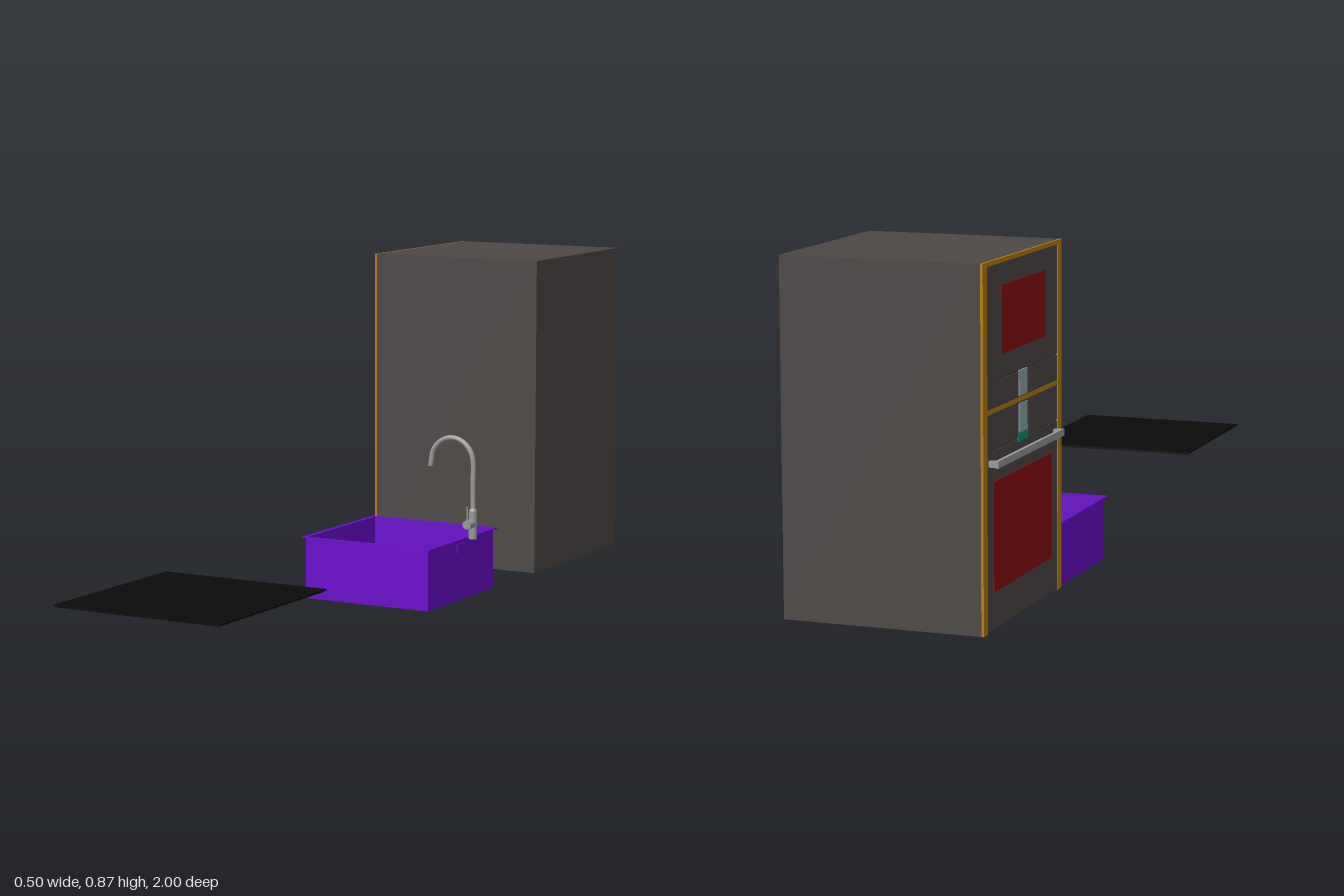
import * as THREE from 'three';

const mat = (color) => new THREE.MeshStandardMaterial({ color });
const dark = mat(0x4d4846), black = mat(0x0a0a0a), gold = mat(0xb97c0c), red = mat(0x8c0808);
const purple = mat(0x6a0dcc), olive = mat(0xc0c000), steel = mat(0x999999);
const pale = mat(0x8fa8a8), teal = mat(0x109078), shade = mat(0x3a3735);
purple.side = olive.side = THREE.DoubleSide;

function add(parent, name, geometry, material, x = 0, y = 0, z = 0) {
  const mesh = new THREE.Mesh(geometry, material);
  mesh.name = name;
  mesh.position.set(x, y, z);
  parent.add(mesh);
  return mesh;
}

// Box given by its limits on each axis
function block(parent, name, material, [x0, x1], [y0, y1], [z0, z1]) {
  return add(parent, name, new THREE.BoxGeometry(x1 - x0, y1 - y0, z1 - z0), material,
    (x0 + x1) / 2, (y0 + y1) / 2, (z0 + z1) / 2);
}

function group(parent, name) {
  const g = new THREE.Group();
  g.name = name;
  parent.add(g);
  return g;
}

// Flat horizontal rectangular frame, laid out around its own centre
function frameGeometry(w, d, innerW, innerD, height) {
  const rect = (path, a, b) => path.moveTo(-a / 2, -b / 2).lineTo(a / 2, -b / 2)
    .lineTo(a / 2, b / 2).lineTo(-a / 2, b / 2).closePath();
  const shape = rect(new THREE.Shape(), w, d);
  shape.holes.push(rect(new THREE.Path(), innerW, innerD));
  return new THREE.ExtrudeGeometry(shape, { depth: height, bevelEnabled: false }).rotateX(-Math.PI / 2);
}

// Double oven whose doors face -x
function buildOven(root) {
  const oven = group(root, 'oven');
  block(oven, 'ovenBody', dark, [-0.224, 0.247], [0.05, 0.865], [-1, -0.5]);
  const face = (name, material, depth, y, z) =>
    block(oven, name, material, [-0.224 - depth, -0.223], y, z);

  // Doors and control panels
  const inner = [-0.975, -0.525];
  face('lowerDoor', dark, 0.003, [0.052, 0.448], inner);
  face('lowerControlPanel', dark, 0.003, [0.452, 0.532], inner);
  face('upperControlPanel', dark, 0.003, [0.542, 0.6], inner);
  face('upperDoor', dark, 0.003, [0.604, 0.855], inner);
  face('panelGap', shade, 0.001, [0.448, 0.604], inner);

  // Trim strips
  for (const z of [[-1, -0.975], [-0.525, -0.5]]) face('sideTrim', gold, 0.005, [0.05, 0.865], z);
  face('topTrim', gold, 0.005, [0.855, 0.865], inner);
  face('middleTrim', gold, 0.004, [0.532, 0.542], inner);

  // Windows and displays
  face('lowerWindow', red, 0.0045, [0.135, 0.38], [-0.935, -0.565]);
  face('upperWindow', red, 0.0045, [0.655, 0.805], [-0.887, -0.607]);
  face('upperDisplay', pale, 0.0045, [0.545, 0.602], [-0.777, -0.723]);
  face('lowerDisplay', pale, 0.0045, [0.463, 0.528], [-0.777, -0.723]);
  face('displayBase', teal, 0.0045, [0.443, 0.461], [-0.782, -0.718]);

  // Door handle with two standoffs
  block(oven, 'handleBar', steel, [-0.25, -0.242], [0.417, 0.433], [-0.965, -0.538]);
  for (const z of [-0.958, -0.545])
    block(oven, 'handlePost', steel, [-0.243, -0.225], [0.418, 0.432], [z - 0.006, z + 0.006]);
}

function buildSink(root) {
  const sink = group(root, 'sink');
  sink.position.set(-0.004, 0, -0.232);
  add(sink, 'basinWalls', frameGeometry(0.352, 0.356, 0.344, 0.348, 0.156), purple, 0, 0.02, 0);
  add(sink, 'rim', frameGeometry(0.37, 0.37, 0.344, 0.348, 0.003), purple, 0, 0.175, 0);

  // Floor with a round opening for the drain
  const floor = new THREE.Shape().moveTo(-0.175, -0.177).lineTo(0.175, -0.177)
    .lineTo(0.175, 0.177).lineTo(-0.175, 0.177).closePath();
  floor.holes.push(new THREE.Path().absarc(0.058, 0, 0.029, 0, Math.PI * 2, true));
  add(sink, 'basinFloor', new THREE.ExtrudeGeometry(floor, { depth: 0.004, bevelEnabled: false })
    .rotateX(-Math.PI / 2), purple, 0, 0.019, 0);

  // Overflow slot on the tap side
  block(sink, 'overflow', purple, [0.168, 0.179], [0.142, 0.165], [-0.022, 0.026]);

  // Drain cup, flange and perforated strainer
  const drain = group(sink, 'drain');
  drain.position.x = 0.058;
  const profile = [[0, 0], [0.012, 0.001], [0.022, 0.005], [0.028, 0.011], [0.029, 0.023],
    [0.042, 0.023], [0.042, 0.025], [0.029, 0.026]].map(([r, y]) => new THREE.Vector2(r, y));
  add(drain, 'drainCup', new THREE.LatheGeometry(profile, 32), olive);
  const disc = new THREE.Shape().absarc(0, 0, 0.028, 0, Math.PI * 2);
  for (let i = 0; i < 10; i++) {
    const a = (i / 10) * Math.PI * 2;
    disc.holes.push(new THREE.Path()
      .absarc(Math.cos(a) * 0.021, Math.sin(a) * 0.021, 0.003, 0, Math.PI * 2, true));
  }
  add(drain, 'strainer', new THREE.ExtrudeGeometry(disc, { depth: 0.002, bevelEnabled: false, curveSegments: 8 })
    .rotateX(-Math.PI / 2), olive, 0, 0.021, 0);
  add(drain, 'strainerKnob', new THREE.CylinderGeometry(0.008, 0.01, 0.006, 20), olive, 0, 0.026, 0);
}

function buildFaucet(root) {
  const faucet = group(root, 'faucet');
  faucet.position.set(0.205, 0, -0.232);
  add(faucet, 'base', new THREE.CylinderGeometry(0.0105, 0.0105, 0.072, 24), steel, 0, 0.215, 0);
  add(faucet, 'collar', new THREE.CylinderGeometry(0.0065, 0.0105, 0.006, 24), steel, 0, 0.254, 0);

  // Gooseneck: straight rise, then an arch over the basin
  const points = [[0, 0.25], [0, 0.29], [0, 0.33]];
  for (let i = 0; i <= 8; i++) {
    const a = (i / 8) * Math.PI;
    points.push([-0.06 + 0.06 * Math.cos(a), 0.37 + 0.063 * Math.sin(a)]);
  }
  points.push([-0.122, 0.358]);
  const path = new THREE.CatmullRomCurve3(points.map(([x, y]) => new THREE.Vector3(x, y, 0)));
  add(faucet, 'neck', new THREE.TubeGeometry(path, 64, 0.0065, 16), steel);
  add(faucet, 'spoutEnd', new THREE.CylinderGeometry(0.0065, 0.0065, 0.002, 16), steel, -0.122, 0.358, 0);

  // Side valve and lever
  add(faucet, 'valve', new THREE.CylinderGeometry(0.0115, 0.0115, 0.03, 24).rotateX(Math.PI / 2),
    steel, 0, 0.219, 0.02);
  add(faucet, 'lever', new THREE.CylinderGeometry(0.002, 0.003, 0.05, 12), steel, 0, 0.241, 0.031);
}

export function createModel() {
  const root = new THREE.Group();
  root.name = 'kitchenAppliances';
  buildOven(root);
  buildSink(root);
  buildFaucet(root);

  // Thin glass hob with a narrower underside
  const hob = group(root, 'hob');
  block(hob, 'hobGlass', black, [-0.215, 0.225], [0.179, 0.183], [0.54, 1]);
  block(hob, 'hobUnderside', black, [-0.21, 0.22], [0.176, 0.179], [0.545, 0.995]);
  return root;
}
